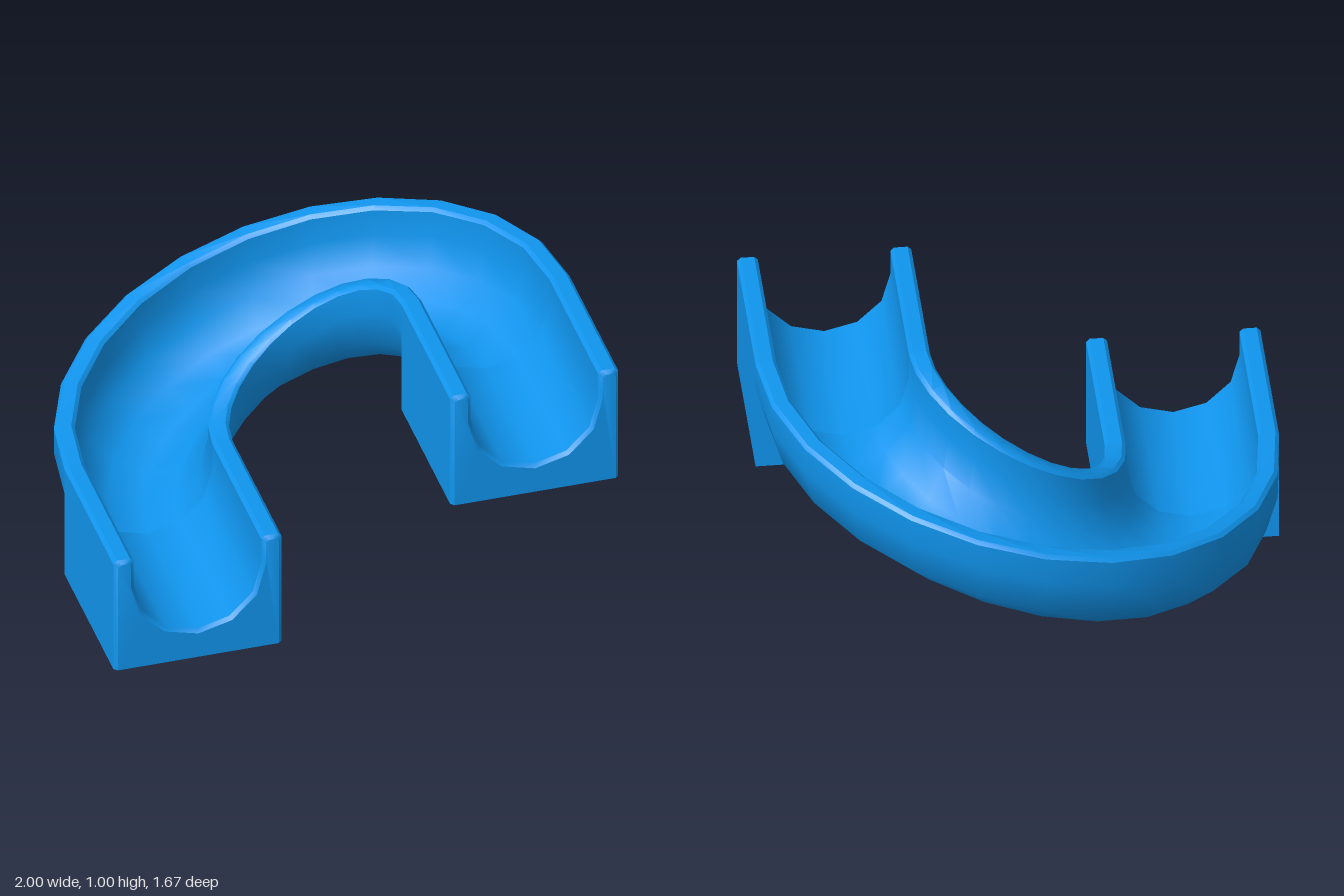
import * as THREE from 'three';
import { mergeGeometries, toCreasedNormals } from 'three/addons/utils/BufferGeometryUtils.js';

const HALF = 0.333;      // half width of the track
const BORE = 0.253;      // radius of the trough
const DROP = 0.125;      // trough axis below the rim
const HEIGHT = 0.5;      // height of an end block
const BEVEL = 0.014;
const MID = 0.667;       // radius of the bend's centre line
const Z0 = 0.167;        // where the blocks meet the bend
const Z1 = 0.833;        // front end
const CREASE = 0.7;

// Rims and trough, from the outer right edge over to the outer left edge; v = 0 at the rim.
function channel(inset = 0) {
  const o = HALF - inset, r = BORE + inset, t = -inset;
  const rim = [[o, t - BEVEL], [o - BEVEL, t], [r + BEVEL, t], [r, t - BEVEL]];
  const trough = [];
  for (let k = 0; k <= 6; k++) {
    const a = k * Math.PI / 6;
    trough.push([r * Math.cos(a), -DROP - r * Math.sin(a)]);
  }
  return [...rim, ...trough, ...rim.map(([u, v]) => [-u, v]).reverse()];
}

// Skin between consecutive cross-sections.
function loft(sections, closed) {
  const n = sections[0].length, index = [];
  for (let s = 0; s < sections.length - 1; s++) {
    for (let i = 0; i < (closed ? n : n - 1); i++) {
      const j = (i + 1) % n;
      const a = s * n + i, b = s * n + j, c = b + n, d = a + n;
      index.push(a, b, c, a, c, d);
    }
  }
  const g = new THREE.BufferGeometry();
  g.setAttribute('position', new THREE.Float32BufferAttribute(sections.flat(2), 3));
  g.setIndex(index);
  return g;
}

// End block: straight trough in a box that is hollow and open underneath.
function blockGeometry() {
  const outline = (inset) => [[HALF - inset, -HEIGHT], ...channel(inset), [-HALF + inset, -HEIGHT]];
  const at = (inset, z) => outline(inset).map(([u, v]) => [u, v, z]);
  const skin = loft([at(0, Z0), at(0, Z1 - BEVEL), at(BEVEL, Z1)], false);
  const cap = (inset) => {
    const g = new THREE.ShapeGeometry(new THREE.Shape(outline(inset).map(([u, v]) => new THREE.Vector2(u, v))));
    g.deleteAttribute('uv');
    g.deleteAttribute('normal');
    return g;
  };
  const front = cap(BEVEL).translate(0, 0, Z1);
  const back = cap(0).rotateY(Math.PI).translate(0, 0, Z0);
  return toCreasedNormals(mergeGeometries([skin, front, back]), CREASE);
}

// Half-circle bend with a rounded shell, climbing from the low block to the high one.
function bendGeometry() {
  const profile = channel();
  for (let k = 0; k <= 6; k++) {
    const a = Math.PI + k * Math.PI / 6;
    profile.push([HALF * Math.cos(a), -DROP + HALF * Math.sin(a)]);
  }
  const sections = [];
  for (let s = 0; s <= 12; s++) {
    const a = s * Math.PI / 12;
    const top = HEIGHT + (1 - Math.cos(a)) * HEIGHT / 2;
    sections.push(profile.map(([u, v]) => [
      -(MID + u) * Math.cos(a), top + v, Z0 - (MID + u) * Math.sin(a),
    ]));
  }
  return toCreasedNormals(loft(sections, true), CREASE);
}

export function createModel() {
  const group = new THREE.Group();
  group.name = 'curvedTrack';
  const material = new THREE.MeshStandardMaterial({ color: 0x1095ee, side: THREE.DoubleSide });

  const block = blockGeometry();
  for (const [name, x, top] of [['lowerBlock', -MID, HEIGHT], ['upperBlock', MID, 2 * HEIGHT]]) {
    const mesh = new THREE.Mesh(block, material);
    mesh.name = name;
    mesh.position.set(x, top, 0);
    group.add(mesh);
  }

  const bend = new THREE.Mesh(bendGeometry(), material);
  bend.name = 'risingBend';
  group.add(bend);
  return group;
}
